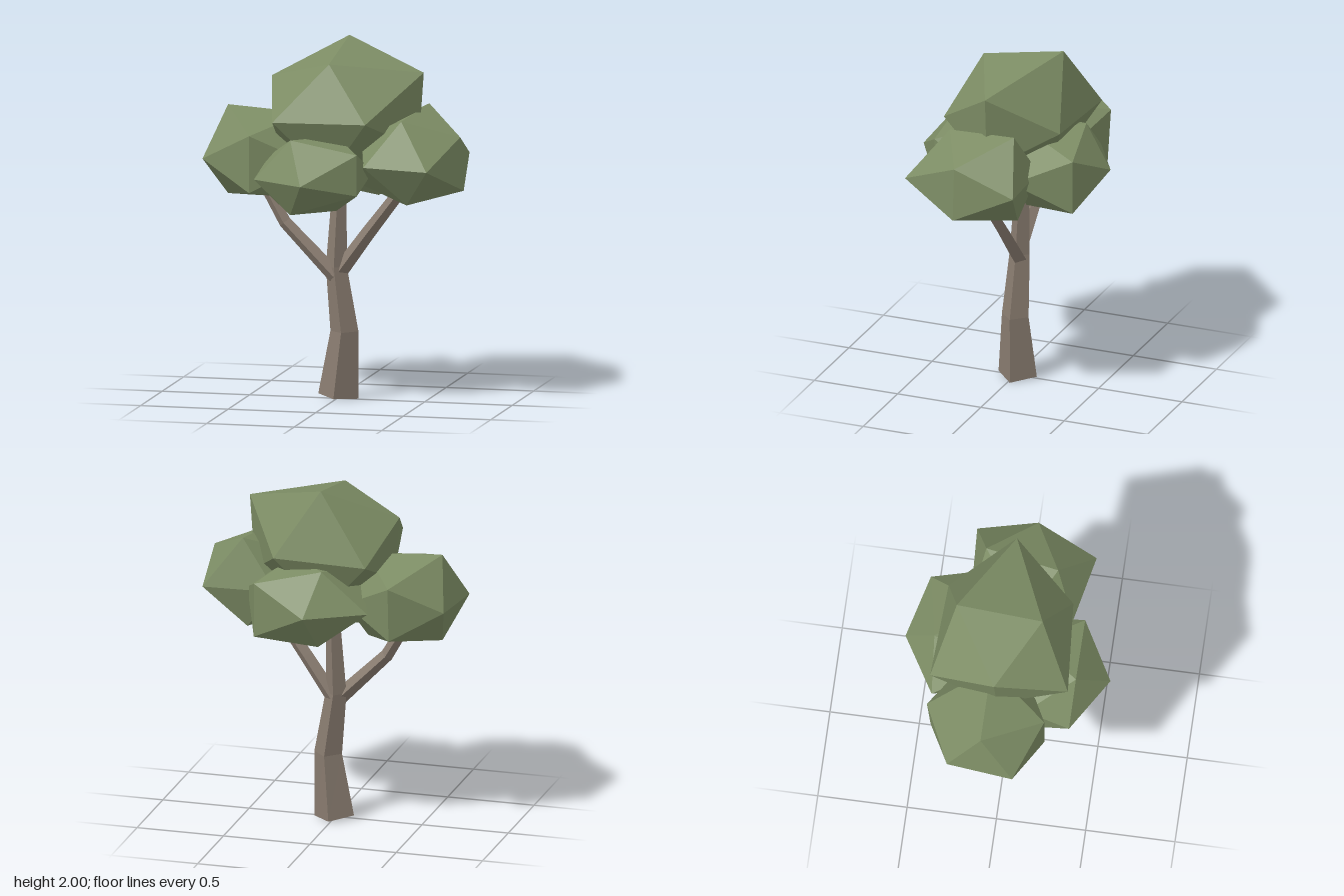
import * as THREE from 'three';
import { ConvexGeometry } from 'three/addons/geometries/ConvexGeometry.js';

const leaf = new THREE.MeshStandardMaterial({ color: 0x7c8c64, flatShading: true });
leaf.name = 'leaf green';
const bark = new THREE.MeshStandardMaterial({ color: 0x887b6f, flatShading: true });
bark.name = 'bark brown';

// Faceted twelve-cornered clump; with a centre, the six corners are mirrored through it
function clump(name, corners, centre) {
  const pts = corners.map((p) => new THREE.Vector3(...p));
  if (centre) {
    const c2 = new THREE.Vector3(...centre).multiplyScalar(2);
    pts.push(...pts.map((p) => c2.clone().sub(p)));
  }
  const mesh = new THREE.Mesh(new ConvexGeometry(pts), leaf);
  mesh.name = name;
  return mesh;
}

// Four-sided tapering limb; each station is [x, y, z, radius]
function limb(name, stations) {
  const at = stations.map((s) => new THREE.Vector3(s[0], s[1], s[2]));
  const last = at.length - 1;
  const pos = [];
  at.forEach((p, i) => {
    const t = at[Math.min(i + 1, last)].clone().sub(at[Math.max(i - 1, 0)]).normalize();
    const v = t.clone().cross(new THREE.Vector3(0, 0, 1)).normalize();
    const u = v.clone().cross(t);
    for (let k = 0; k < 4; k++) {
      const a = (k * Math.PI) / 2;
      const q = p.clone().addScaledVector(u, stations[i][3] * Math.cos(a))
        .addScaledVector(v, stations[i][3] * Math.sin(a));
      pos.push(q.x, q.y, q.z);
    }
  });
  const index = [0, 3, 2, 0, 2, 1];
  for (let i = 0; i < last; i++) {
    for (let k = 0; k < 4; k++) {
      const a = i * 4 + k, b = i * 4 + ((k + 1) % 4);
      index.push(a, b, b + 4, a, b + 4, a + 4);
    }
  }
  const e = last * 4;
  index.push(e, e + 1, e + 2, e, e + 2, e + 3);
  const indexed = new THREE.BufferGeometry();
  indexed.setAttribute('position', new THREE.Float32BufferAttribute(pos, 3));
  indexed.setIndex(index);
  const geo = indexed.toNonIndexed();
  geo.computeVertexNormals();
  const mesh = new THREE.Mesh(geo, bark);
  mesh.name = name;
  return mesh;
}

export function createModel() {
  const tree = new THREE.Group();
  tree.name = 'tree';

  // Trunk and the two forking branches
  tree.add(
    limb('trunk', [[0.003, 0.013, -0.015, 0.115], [0.038, 0.38, -0.015, 0.08],
      [-0.01, 0.74, -0.022, 0.06], [0.005, 1.25, -0.045, 0.038]]),
    limb('leftBranch', [[0.0, 0.7, -0.025, 0.045], [0.17, 0.93, 0.0, 0.04], [0.41, 1.24, 0.04, 0.033]]),
    limb('rightBranch', [[-0.01, 0.69, 0.0, 0.045], [-0.3, 0.98, -0.01, 0.036], [-0.43, 1.2, -0.03, 0.032]]),
  );

  // Crown
  tree.add(
    clump('topFoliage', [
      [0, 2.0, -0.29], [0, 1.91, 0.19], [0.49, 1.85, -0.02], [-0.38, 1.8, -0.03],
      [-0.28, 1.6, 0.37], [0.24, 1.6, 0.33], [-0.29, 1.61, -0.4], [0.25, 1.61, -0.37],
      [0.46, 1.42, -0.02], [-0.34, 1.44, -0.02], [0, 1.28, 0.2], [0, 1.28, -0.22]]),
    clump('rightFoliage', [
      [-0.64, 1.62, -0.07], [-0.2, 1.59, -0.07], [-0.64, 1.12, -0.07], [-0.21, 1.11, -0.07],
      [-0.44, 1.5, 0.26], [-0.44, 1.18, 0.26], [-0.42, 1.5, -0.4], [-0.42, 1.19, -0.38],
      [-0.74, 1.34, 0.12], [-0.7, 1.34, -0.25], [-0.13, 1.34, 0.12], [-0.13, 1.34, -0.25]]),
    clump('leftFoliage', [
      [0.74, 1.21, 0.07], [0.72, 1.51, 0.07], [0.61, 1.36, 0.41], [0.23, 1.36, 0.33],
      [0.69, 1.37, -0.27], [0.27, 1.37, -0.25], [0.48, 1.65, -0.19], [0.42, 1.61, 0.22],
      [0.45, 1.14, 0.22], [0.45, 1.14, -0.2], [0.16, 1.5, 0.07], [0.16, 1.22, 0.07]]),
    clump('frontFoliage', [
      [-0.07, 1.28, 0.58], [-0.38, 1.28, 0.39], [-0.17, 1.51, 0.4],
      [0.21, 1.44, 0.4], [0.21, 1.21, 0.4], [-0.17, 1.09, 0.4]], [-0.07, 1.295, 0.27]),
    clump('backFoliage', [
      [0.02, 1.34, -0.58], [0.33, 1.49, -0.48], [0.33, 1.18, -0.48],
      [-0.04, 1.57, -0.41], [-0.3, 1.34, -0.39], [-0.02, 1.13, -0.41]], [0.08, 1.35, -0.28]),
  );
  return tree;
}
